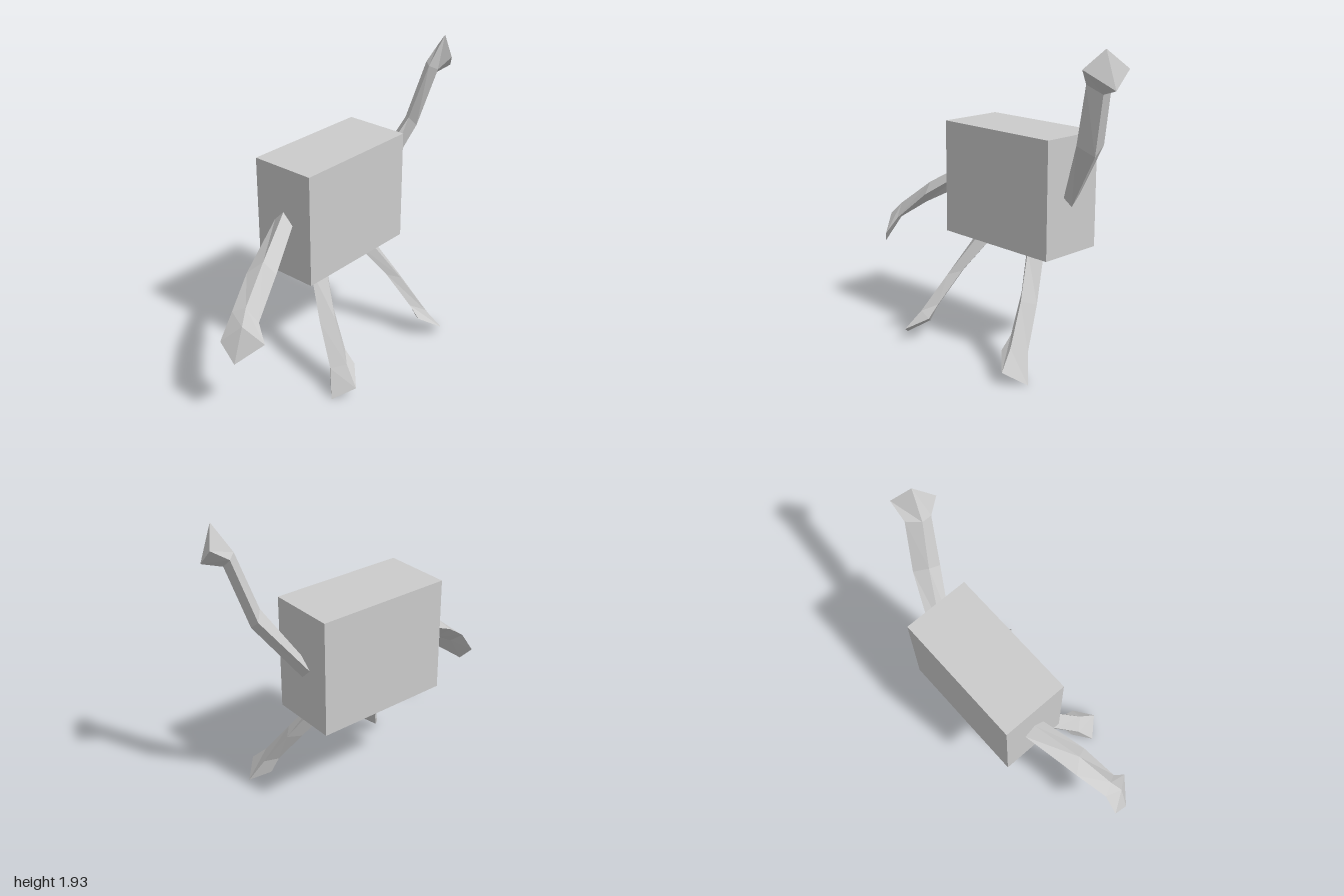
import * as THREE from 'three';

const material = new THREE.MeshStandardMaterial({ color: 0xcccccc, flatShading: true });

// Closed faceted limb through four-cornered rings (each ring counterclockwise seen from its start)
function limb(name, rings) {
  const n = 4, index = [], last = (rings.length - 1) * n;
  for (let r = 0; r < rings.length - 1; r++) {
    for (let i = 0; i < n; i++) {
      const a = r * n + i, b = r * n + (i + 1) % n;
      index.push(a, a + n, b + n, a, b + n, b);
    }
  }
  index.push(0, 1, 2, 0, 2, 3);
  index.push(last, last + 3, last + 2, last, last + 2, last + 1);
  const geometry = new THREE.BufferGeometry();
  geometry.setAttribute('position', new THREE.Float32BufferAttribute(rings.flat(2), 3));
  geometry.setIndex(index);
  const flat = geometry.toNonIndexed();
  flat.computeVertexNormals();
  const mesh = new THREE.Mesh(flat, material);
  mesh.name = name;
  return mesh;
}

export function createModel() {
  const model = new THREE.Group();
  model.name = 'boxFigure';
  const centreX = 0.0875;

  // Body block
  const body = new THREE.Mesh(new THREE.BoxGeometry(0.872, 0.722, 0.432), material);
  body.name = 'body';
  body.position.set(centreX, 1.021, -0.183);
  model.add(body);

  // Raised arm: shoulder, elbow, wrist, hand (top, back, bottom, front)
  model.add(limb('leftArm', [
    [[0.523, 1.09, -0.183], [0.523, 1.02, -0.255], [0.523, 0.95, -0.183], [0.523, 1.02, -0.11]],
    [[0.717, 1.406, -0.073], [0.78, 1.37, -0.148], [0.78, 1.31, -0.073], [0.705, 1.375, 0]],
    [[0.815, 1.745, 0], [0.885, 1.742, -0.072], [0.885, 1.68, 0], [0.82, 1.735, 0.067]],
    [[0.925, 1.93, 0.036], [1, 1.823, -0.072], [1, 1.715, 0.036], [0.855, 1.823, 0.143]],
  ]));

  // Lowered arm (top, front, bottom, back)
  model.add(limb('rightArm', [
    [[-0.348, 1.09, -0.183], [-0.348, 1.02, -0.11], [-0.348, 0.95, -0.183], [-0.348, 1.02, -0.255]],
    [[-0.636, 0.914, -0.073], [-0.604, 0.845, 0], [-0.674, 0.77, -0.073], [-0.7, 0.84, -0.148]],
    [[-0.856, 0.738, 0], [-0.822, 0.65, 0.067], [-0.86, 0.64, 0], [-0.895, 0.7, -0.075]],
    [[-0.925, 0.66, 0.036], [-0.855, 0.55, 0.143], [-1, 0.44, 0.036], [-1, 0.55, -0.072]],
  ]));

  // Legs: hip, knee, ankle, foot (front, outer, back, inner)
  const leg = [
    [[0.305, 0.66, -0.04], [0.375, 0.66, -0.11], [0.305, 0.66, -0.18], [0.235, 0.66, -0.11]],
    [[0.415, 0.41, 0.13], [0.48, 0.39, 0.06], [0.415, 0.41, -0.01], [0.353, 0.433, 0.06]],
    [[0.49, 0.184, 0.29], [0.558, 0.155, 0.215], [0.49, 0.184, 0.148], [0.417, 0.225, 0.212]],
    [[0.527, 0.077, 0.397], [0.632, 0, 0.29], [0.527, 0.077, 0.184], [0.417, 0.15, 0.29]],
  ];
  const mirrored = leg.map(ring => ring.map(([x, y, z]) => [2 * centreX - x, y, z]).reverse());
  model.add(limb('leftLeg', leg), limb('rightLeg', mirrored));

  return model;
}
